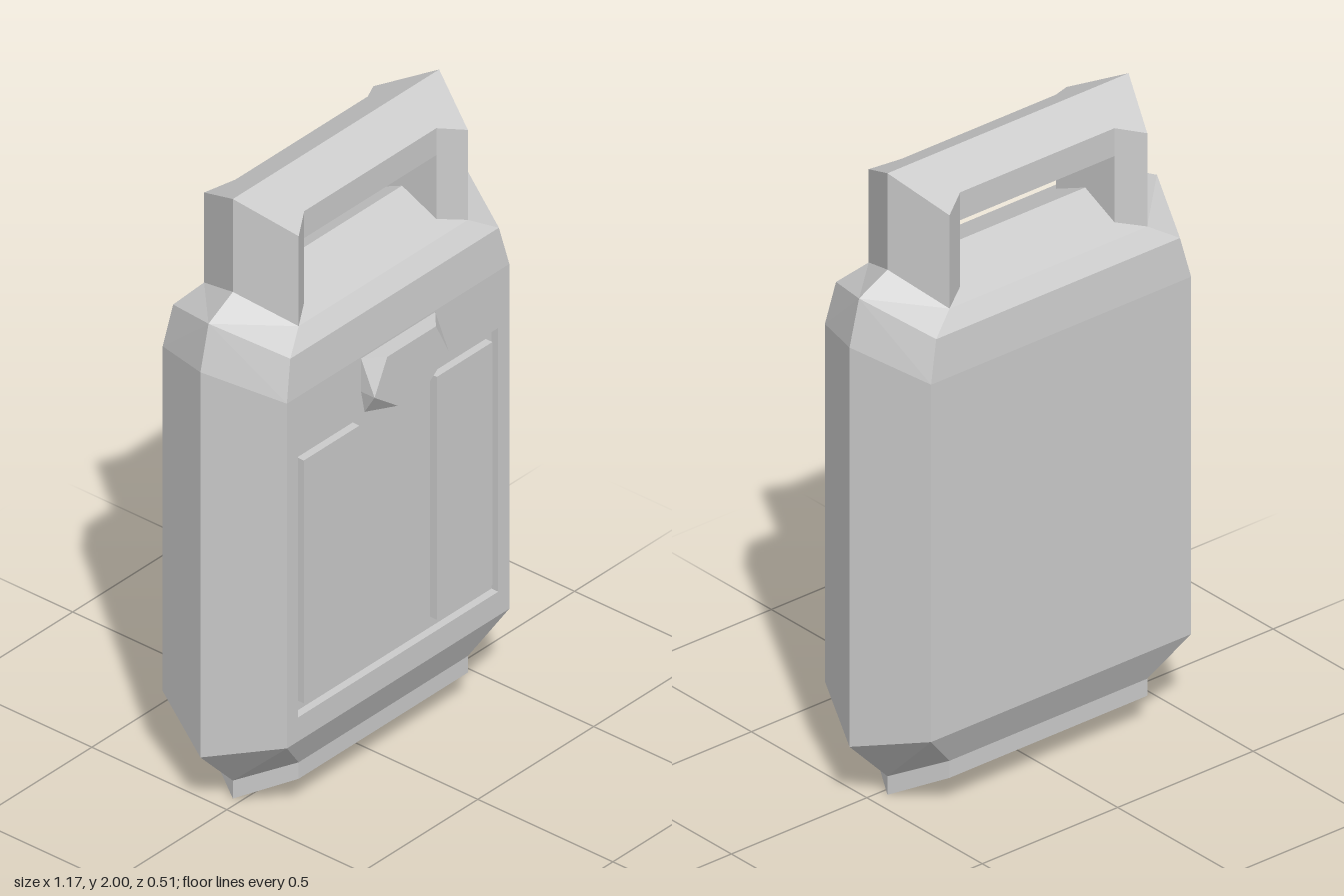
import * as THREE from 'three';

const material = new THREE.MeshStandardMaterial({ color: 0xcccccc, flatShading: true });

function part(name, geometry) {
  const mesh = new THREE.Mesh(geometry, material);
  mesh.name = name;
  return mesh;
}

// Joins six-sided rings; both caps fold along the line between corners 1 and 4.
function loft(rings, skip = () => false) {
  const points = [];
  const tri = (...p) => p.forEach((v) => points.push(...v));
  const centre = rings.flat().reduce((s, p) => s.add(new THREE.Vector3(...p)), new THREE.Vector3())
    .divideScalar(rings.length * 6);
  const reach = (p, q) => new THREE.Vector3(...p).add(new THREE.Vector3(...q)).multiplyScalar(0.5).distanceTo(centre);
  const quad = (a, b, c, d) => {
    // Fold each quad along its outer diagonal
    if (reach(a, c) >= reach(b, d)) { tri(a, b, c); tri(a, c, d); }
    else { tri(a, b, d); tri(b, c, d); }
  };
  for (let k = 0; k < rings.length - 1; k++) {
    for (let i = 0; i < 6; i++) {
      const j = (i + 1) % 6;
      if (!skip(k, i)) quad(rings[k][i], rings[k][j], rings[k + 1][j], rings[k + 1][i]);
    }
  }
  const b = rings[0], t = rings[rings.length - 1];
  quad(t[0], t[1], t[4], t[5]);
  quad(t[1], t[2], t[3], t[4]);
  quad(b[5], b[4], b[1], b[0]);
  quad(b[4], b[3], b[2], b[1]);
  const geometry = new THREE.BufferGeometry();
  geometry.setAttribute('position', new THREE.Float32BufferAttribute(points, 3));
  geometry.computeVertexNormals();
  return geometry;
}

// Level ring from its right half, mirrored to the left
const mirrorRing = (half) => [...half, ...[...half].reverse().map(([x, y, z]) => [-x, y, z])];

function rectangle(PathType, x0, x1, y0, y1) {
  return new PathType([[x0, y0], [x1, y0], [x1, y1], [x0, y1]].map(([x, y]) => new THREE.Vector2(x, y)));
}

export function createModel() {
  const model = new THREE.Group();
  model.name = 'canister';
  model.position.z = -0.025;
  const front = 0.23, depth = 0.025;

  // Body: corner x, corner y, corner z, side tip x, side tip y
  const levels = [
    [0.365, 0.10, 0.175, 0.445, 0],
    [0.365, 0.155, 0.175, 0.445, 0.06],
    [0.48, 0.28, front, 0.585, 0.205],
    [0.48, 1.43, front, 0.585, 1.49],
    [0.45, 1.56, 0.217, 0.55, 1.635],
    [0.365, 1.61, 0.175, 0.445, 1.69],
  ];
  const rings = levels.map(([x, y, z, tx, ty]) => mirrorRing([[x, y, z], [tx, ty, 0], [x, y, -z]]));
  model.add(part('body', loft(rings, (k, i) => k === 2 && i === 5)));

  // Front wall with a shallow recess
  const wall = rectangle(THREE.Shape, -0.48, 0.48, 0.28, 1.43);
  wall.holes.push(rectangle(THREE.Path, -0.432, 0.432, 0.36, 1.24));
  const wallGeometry = new THREE.ExtrudeGeometry(wall, { depth, bevelEnabled: false });
  wallGeometry.translate(0, 0, front - depth);
  model.add(part('frontWall', wallGeometry));
  const floor = new THREE.PlaneGeometry(0.88, 0.9);
  floor.translate(0, 0.8, front - depth);
  model.add(part('recessFloor', floor));

  // Raised panels in the recess
  for (const side of [-1, 1]) {
    const panel = new THREE.BoxGeometry(0.24, 0.81, depth);
    panel.translate(side * 0.287, 0.8, front - depth / 2);
    model.add(part(side > 0 ? 'leftPanel' : 'rightPanel', panel));
  }

  // Faceted latch
  const latchRing = (low, high, z) => mirrorRing([[low, 1.24, z], [0.16, 1.315, z], [high, 1.425, z]]);
  model.add(part('latch', loft([latchRing(0.145, 0.16, front), latchRing(0.06, 0.105, front + 0.05)])));

  // Handle: two legs and a bar under one ridged top
  const handle = new THREE.Group();
  handle.name = 'handle';
  const legPlan = [[0.365, 0.175], [0.445, 0], [0.365, -0.175], [0.285, -0.127], [0.285, 0], [0.285, 0.127]];
  const ridge = (top, drop) => ([x, z]) => [x, top - drop * Math.abs(z) / 0.175, z];
  const legGeometry = loft([legPlan.map(ridge(1.69, 0.08)), legPlan.map(ridge(2, 0.09))]);
  for (const side of ['left', 'right']) {
    const leg = part(side + 'HandleLeg', legGeometry);
    if (side === 'right') leg.rotation.y = Math.PI;
    handle.add(leg);
  }
  const barPlan = [[0.285, 0.127], [0.285, 0], [0.285, -0.127]];
  handle.add(part('handleBar', loft([
    mirrorRing(barPlan.map(ridge(1.845, 0))),
    mirrorRing(barPlan.map(ridge(2, 0.09))),
  ])));
  model.add(handle);

  const root = new THREE.Group();
  root.add(model);
  return root;
}
